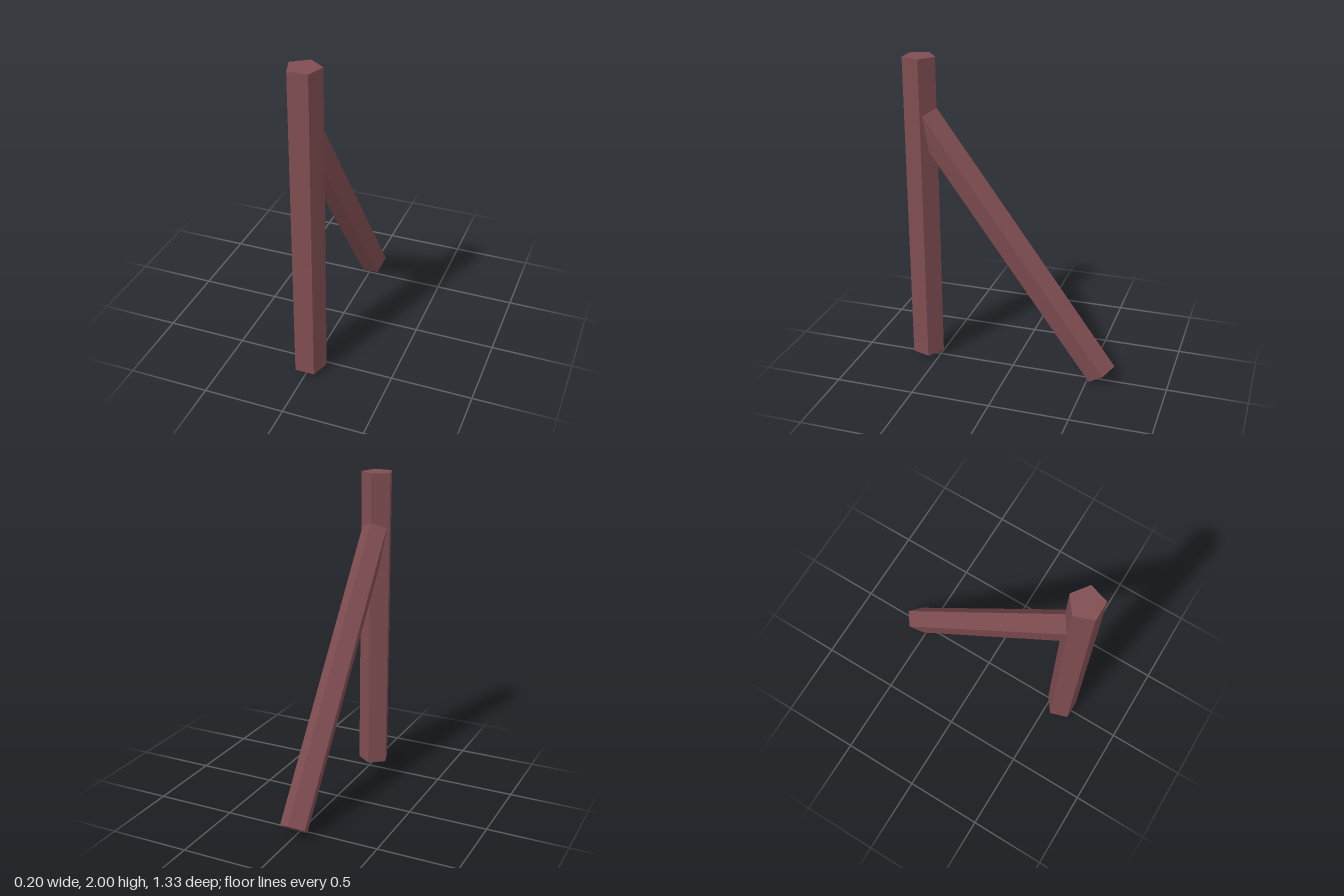
import * as THREE from 'three';

export function createModel() {
  const group = new THREE.Group();
  const wood = new THREE.MeshStandardMaterial({ color: 0x7f4d51, flatShading: true });
  wood.name = 'reddish brown wood';

  // Five-sided pole standing on its origin, with a ridge towards the back
  const R = 0.103, LENGTH = 1.97;
  function pole(name) {
    const geometry = new THREE.CylinderGeometry(R, R, LENGTH, 5, 1, false, Math.PI);
    geometry.translate(0, LENGTH / 2, 0);
    const mesh = new THREE.Mesh(geometry, wood);
    mesh.name = name;
    group.add(mesh);
    return mesh;
  }

  // Upright post
  const post = pole('post');
  post.position.set(0, 0.03, 0.583);

  // Slimmer brace leaning forward, its upper end buried in the post
  const brace = pole('brace');
  brace.scale.x = 0.85;
  brace.rotation.x = Math.PI / 5;
  brace.position.set(0, 0.052, -0.583);

  return group;
}
